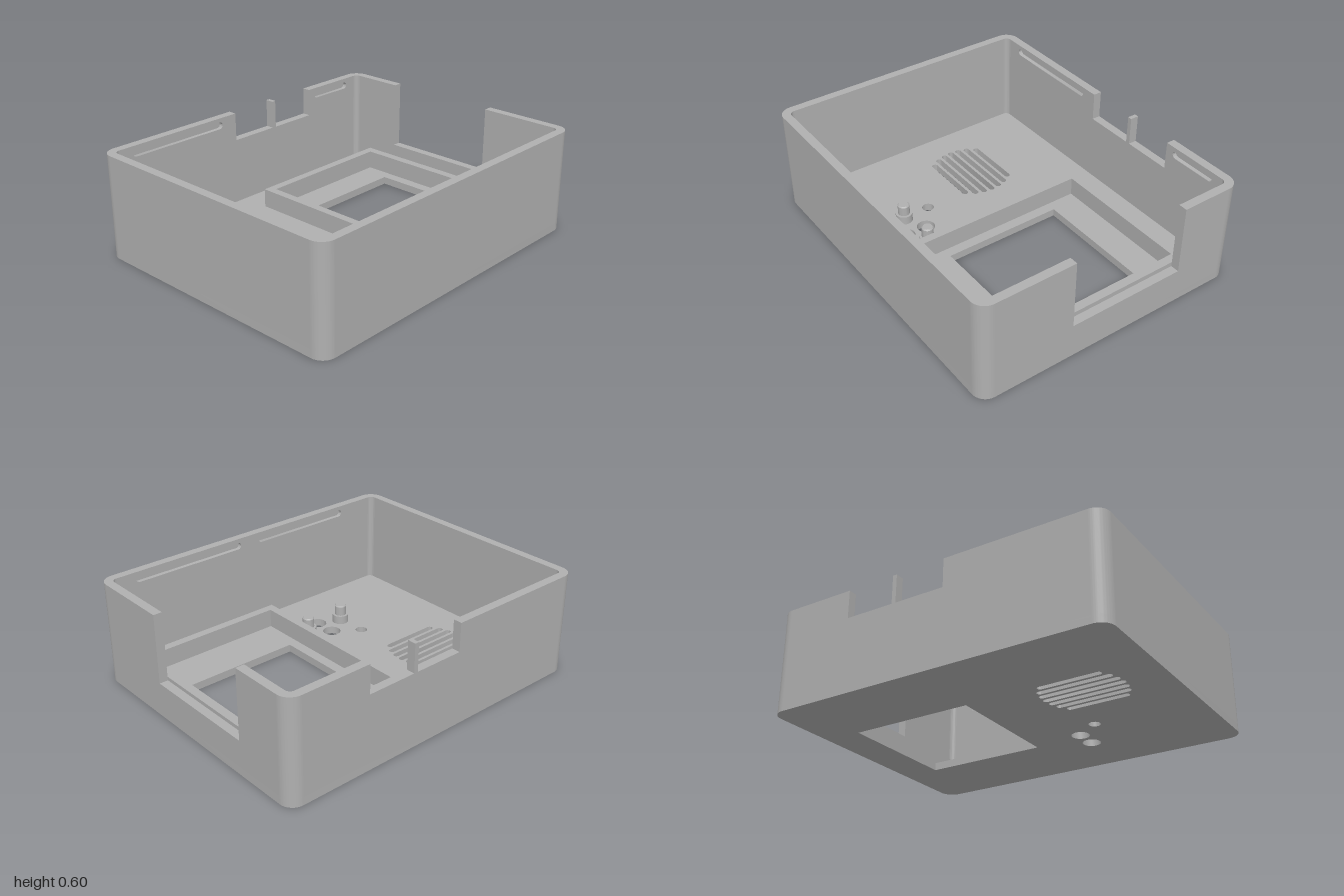
import * as THREE from 'three';
import { toCreasedNormals } from 'three/addons/utils/BufferGeometryUtils.js';

const W = 1, D = 0.81, H = 0.6;        // half width, half depth, height
const WALL = 0.05, FLOOR = 0.045, R = 0.08;

const grey = new THREE.MeshStandardMaterial({ color: 0xb0b0b0 });
grey.name = 'grey plastic';

function rect(target, x0, y0, x1, y1) {
  target.moveTo(x0, y0).lineTo(x1, y0).lineTo(x1, y1).lineTo(x0, y1).closePath();
  return target;
}

// Slot with round ends, lying along the first axis
function capsule(x0, x1, y, r) {
  const p = new THREE.Path();
  p.absarc(x1 - r, y, r, -Math.PI / 2, Math.PI / 2, false);
  p.absarc(x0 + r, y, r, Math.PI / 2, Math.PI * 1.5, false);
  p.closePath();
  return p;
}

function circle(x, y, r) {
  return new THREE.Path().absarc(x, y, r, 0, Math.PI * 2, false);
}

function polygon(points) {
  return new THREE.Shape(points.map(([x, y]) => new THREE.Vector2(x, y)));
}

function extrude(shape, depth) {
  return new THREE.ExtrudeGeometry(shape, { depth, bevelEnabled: false, curveSegments: 16 });
}

function createPart(group, name, geometry) {
  const mesh = new THREE.Mesh(toCreasedNormals(geometry, 0.6), grey);
  mesh.name = name;
  group.add(mesh);
}

// Extrude a plan shape (x, z) between two heights
function slab(shape, y0, y1) {
  return extrude(shape, y1 - y0).rotateX(Math.PI / 2).translate(0, y1, 0);
}

export function createModel() {
  const group = new THREE.Group();
  group.name = 'enclosure';
  const cx = W - R, cz = D - R;

  // Floor with rounded corners and all its openings
  const floor = new THREE.Shape();
  floor.absarc(cx, cz, R, 0, Math.PI / 2, false);
  floor.absarc(-cx, cz, R, Math.PI / 2, Math.PI, false);
  floor.absarc(-cx, -cz, R, Math.PI, Math.PI * 1.5, false);
  floor.absarc(cx, -cz, R, Math.PI * 1.5, Math.PI * 2, false);
  floor.closePath();
  floor.holes.push(rect(new THREE.Path(), 0.06, -0.36, 0.78, 0.36));
  [0.182, 0.215, 0.231, 0.237, 0.231, 0.215, 0.182].forEach((half, i) => {
    floor.holes.push(capsule(-0.54 - half, -0.54 + half, -0.34 + i * 0.051, 0.017));
  });
  floor.holes.push(circle(-0.382, 0.224, 0.034), circle(-0.238, 0.329, 0.052), circle(-0.238, 0.46, 0.052));
  createPart(group, 'floor', slab(floor, 0, FLOOR));

  // Corner posts
  for (let i = 0; i < 4; i++) {
    const a = i * Math.PI / 2;
    const x = i === 0 || i === 3 ? cx : -cx;
    const z = i < 2 ? cz : -cz;
    const s = new THREE.Shape();
    s.absarc(x, z, R, a, a + Math.PI / 2, false);
    s.absarc(x, z, R - WALL, a + Math.PI / 2, a, true);
    s.closePath();
    createPart(group, 'corner', slab(s, FLOOR, H));
  }

  // Front and back walls: a plain outer skin and an inner skin with snap grooves
  const frontOutline = [[-cx, FLOOR], [cx, FLOOR], [cx, H], [-cx, H]];
  const sill = 0.435;
  const backOutline = [
    [-cx, FLOOR], [cx, FLOOR], [cx, H], [0.51, H], [0.51, sill], [0.22, sill], [0.22, H],
    [0.195, H], [0.195, sill], [-0.1, sill], [-0.1, H], [-cx, H],
  ];
  const half = WALL / 2;
  const grooved = (outline, grooves) => {
    const s = polygon(outline);
    grooves.forEach(([x0, x1]) => s.holes.push(capsule(x0, x1, 0.555, 0.02)));
    return s;
  };
  createPart(group, 'frontWallOuter', extrude(polygon(frontOutline), half).translate(0, 0, D - half));
  createPart(group, 'frontWallInner',
    extrude(grooved(frontOutline, [[-0.69, -0.04], [0.09, 0.8]]), half).translate(0, 0, D - WALL));
  createPart(group, 'backWallOuter', extrude(polygon(backOutline), half).translate(0, 0, -D));
  createPart(group, 'backWallInner',
    extrude(grooved(backOutline, [[-0.83, -0.2], [0.56, 0.85]]), half).translate(0, 0, -D + half));

  // Side walls, one with a deep notch
  const side = (outline, x) => extrude(polygon(outline), WALL).rotateY(-Math.PI / 2).translate(x, 0, 0);
  createPart(group, 'plainSideWall', side([[-cz, FLOOR], [cz, FLOOR], [cz, H], [-cz, H]], -W + WALL));
  createPart(group, 'notchedSideWall', side([
    [-cz, FLOOR], [cz, FLOOR], [cz, H], [0.263, H], [0.263, 0.2], [-0.43, 0.2], [-0.43, H], [-cz, H],
  ], W));

  // Raised frame around the display window
  const frame = rect(new THREE.Shape(), -0.048, -0.585, 0.893, 0.666);
  frame.holes.push(rect(new THREE.Path(), 0, -0.537, 0.842, 0.617));
  createPart(group, 'displayFrame', slab(frame, FLOOR, 0.155));

  // Stepped mounting pegs
  const profile = [[0.048, FLOOR], [0.048, 0.095], [0.034, 0.095], [0.034, 0.15], [0.028, 0.156], [0, 0.156]]
    .map(([x, y]) => new THREE.Vector2(x, y));
  for (const x of [-0.364, -0.112]) {
    createPart(group, 'peg', new THREE.LatheGeometry(profile, 28).toNonIndexed().translate(x, 0, 0.395));
  }
  return group;
}
